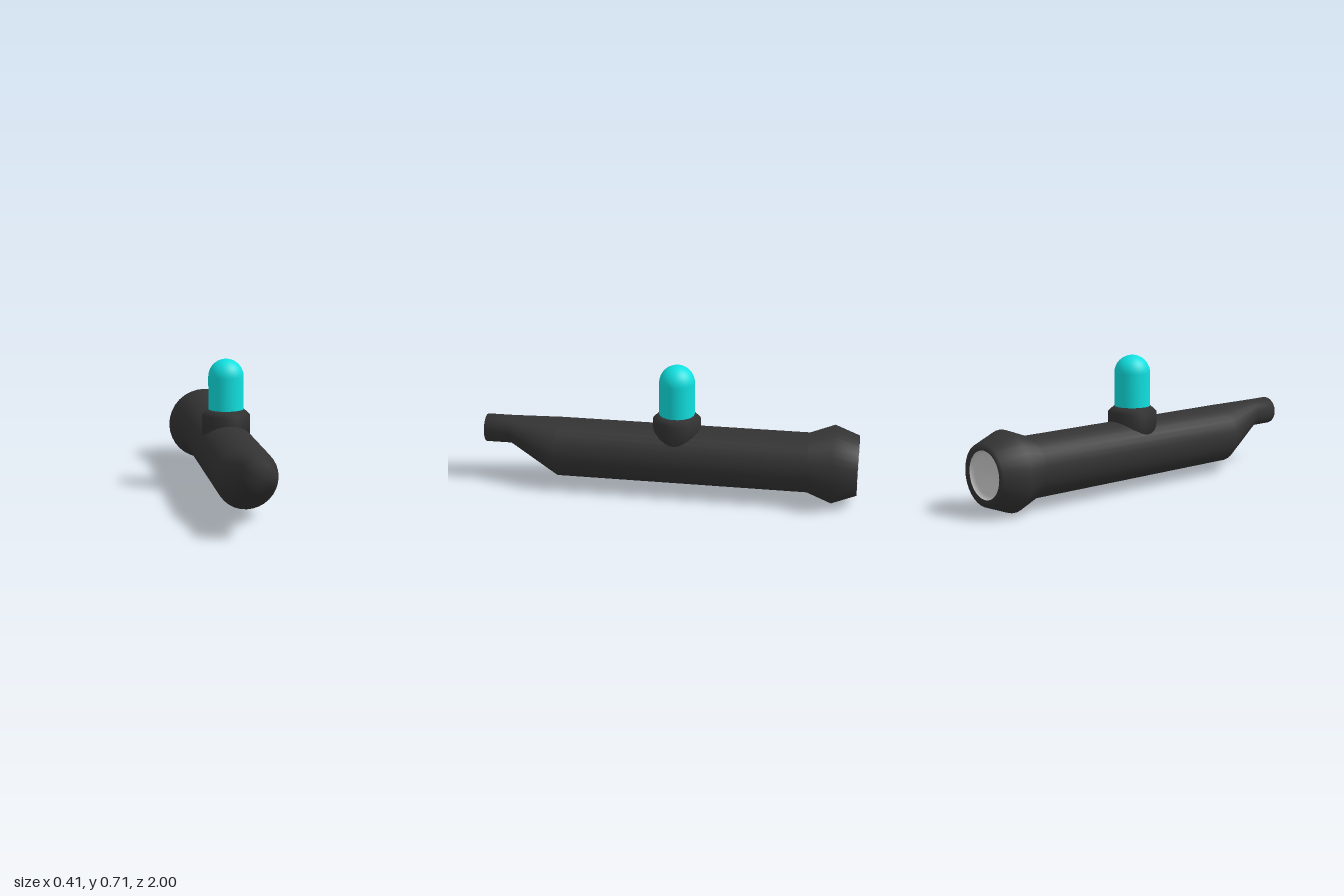
import * as THREE from 'three';

const SIDES = 32;

// Skin over circular cross-sections [z, radius, centreY], listed from front to back
function loft(sections) {
  const pos = [], index = [];
  sections.forEach(([z, r, y], i) => {
    for (let j = 0; j < SIDES; j++) {
      const t = (j / SIDES) * Math.PI * 2;
      pos.push(r * Math.cos(t), y + r * Math.sin(t), z);
      if (i === sections.length - 1) continue;
      const a = i * SIDES + j, c = i * SIDES + (j + 1) % SIDES;
      const b = a + SIDES, d = c + SIDES;
      index.push(a, b, c, c, b, d);
    }
  });
  const geo = new THREE.BufferGeometry();
  geo.setAttribute('position', new THREE.Float32BufferAttribute(pos, 3));
  geo.setIndex(index);
  geo.computeVertexNormals();
  return geo;
}

export function createModel() {
  const group = new THREE.Group();
  const dark = new THREE.MeshStandardMaterial({ color: 0x333333 });
  const teal = new THREE.MeshStandardMaterial({ color: 0x10e0e0 });
  const grey = new THREE.MeshStandardMaterial({ color: 0xcccccc, side: THREE.DoubleSide });

  const add = (name, geometry, material, z = 0) => {
    const mesh = new THREE.Mesh(geometry, material);
    mesh.name = name;
    mesh.position.z = z;
    group.add(mesh);
  };
  const lathe = (pts) =>
    new THREE.LatheGeometry(pts.map(([r, y]) => new THREE.Vector2(r, y)), SIDES);

  // Tube with an offset mouthpiece in front and a flared head behind
  const axis = 0.209, tip = 0.292;
  add('body', loft([
    [1, 0, tip], [1, 0.075, tip], [0.86, 0.075, tip],
    [0.6, 0.158, axis], [-0.74, 0.158, axis],
    [-0.87, 0.207, axis], [-1, 0.158, axis], [-1, 0.122, axis],
  ]), dark);

  // Shallow dish closing the head
  add('endDish', loft([[-1, 0.122, axis], [-0.98, 0.105, axis], [-0.975, 0, axis]]), grey);

  // Chamfered collar on top of the tube
  const stemZ = -0.04;
  add('collar', lathe([
    [0, 0.25], [0.127, 0.25], [0.127, 0.411], [0.095, 0.44], [0, 0.44],
  ]), dark, stemZ);

  // Domed capsule standing in the collar
  const dome = [];
  for (let i = 0; i <= 10; i++) {
    const t = (i / 10) * Math.PI / 2;
    dome.push([0.094 * Math.cos(t), 0.614 + 0.094 * Math.sin(t)]);
  }
  add('capsule', lathe([[0.094, 0.42], ...dome]), teal, stemZ);

  return group;
}
